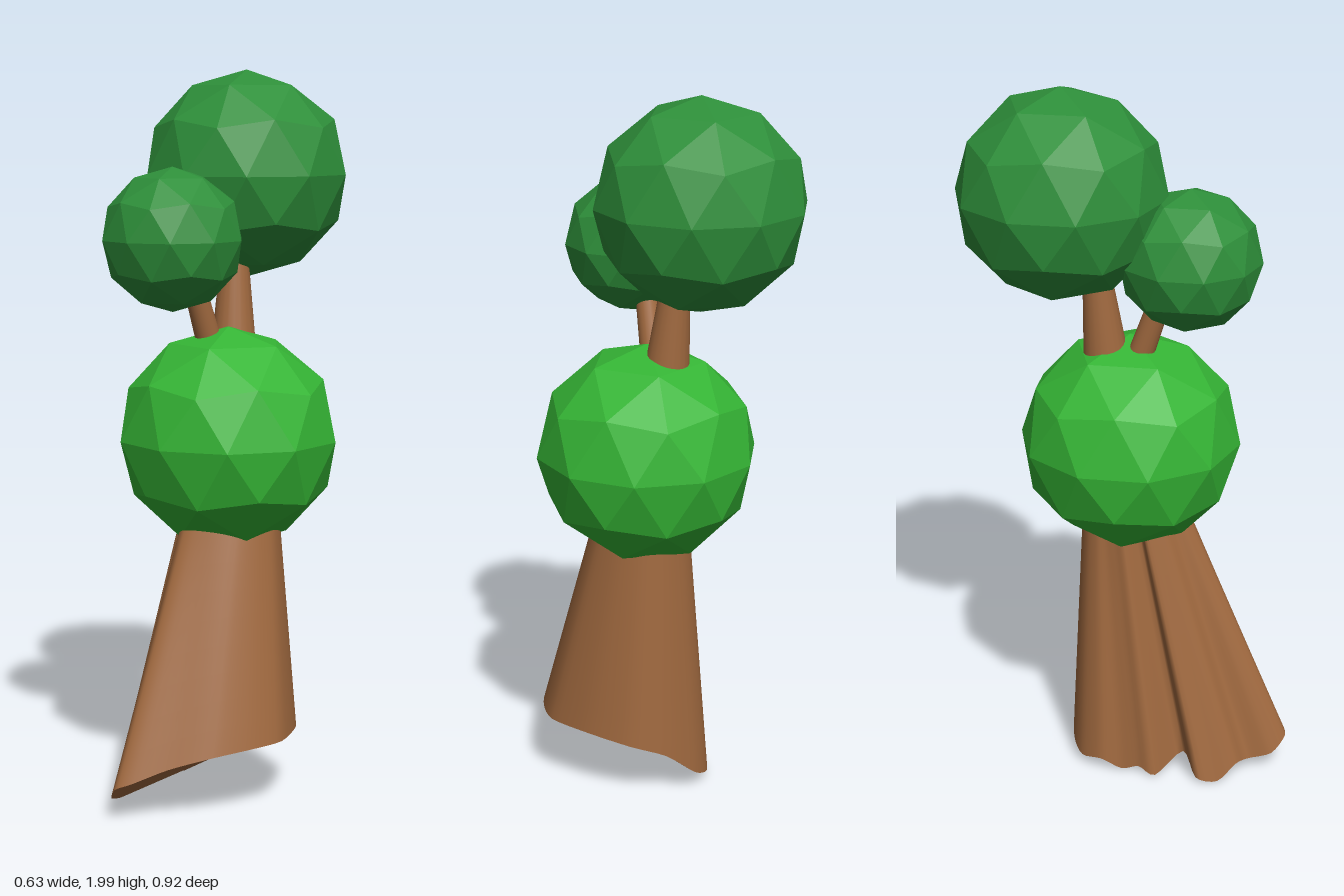
import * as THREE from 'three';

const BARK = 0xa0693f, LIGHT_LEAF = 0x35b535, DARK_LEAF = 0x2e8f3a;
const material = (color, flatShading = false) => new THREE.MeshStandardMaterial({ color, flatShading });

// Faceted ball with a vertex pointing straight up
function foliage(name, radius, position, color) {
  const geometry = new THREE.IcosahedronGeometry(radius, 1);
  geometry.rotateX(-Math.atan2((1 + Math.sqrt(5)) / 2, 1));
  geometry.rotateY(Math.PI / 2);
  const mesh = new THREE.Mesh(geometry, material(color, true));
  mesh.name = name;
  mesh.position.set(...position);
  return mesh;
}

// Tapered limb between two points
function branch(name, from, to, r0, r1) {
  const a = new THREE.Vector3(...from), b = new THREE.Vector3(...to);
  const dir = b.clone().sub(a);
  const mesh = new THREE.Mesh(new THREE.CylinderGeometry(r1, r0, dir.length(), 20), material(BARK));
  mesh.name = name;
  mesh.position.copy(a).add(b).multiplyScalar(0.5);
  mesh.quaternion.setFromUnitVectors(new THREE.Vector3(0, 1, 0), dir.normalize());
  return mesh;
}

// Outline of the slanted, ragged foot of the trunk
const FOOT = [
  [0.275, 0.2, 0.1], [0.25, 0.197, 0.2], [0.19, 0.185, 0.3], [0.1, 0.155, 0.375],
  [0.03, 0.12, 0.44], [-0.015, 0.1, 0.46], [-0.055, 0.06, 0.425], [-0.07, 0.045, 0.36],
  [-0.12, 0.055, 0.33], [-0.15, 0.01, 0.28], [-0.165, 0.025, 0.22], [-0.07, 0.05, 0.17],
  [-0.15, 0.012, 0.1], [-0.14, 0.03, 0.05], [-0.135, 0.015, 0], [-0.14, 0.045, -0.06],
  [-0.11, 0.035, -0.12], [-0.05, 0.06, -0.155], [0.05, 0.14, -0.165], [0.15, 0.18, -0.13],
  [0.23, 0.2, -0.03],
].map((p) => new THREE.Vector3(...p));

function trunk() {
  const group = new THREE.Group();
  group.name = 'trunk';
  const N = 84, ROWS = 10;
  const curve = new THREE.CatmullRomCurve3(FOOT, true, 'catmullrom', 0.4);
  const foot = Array.from({ length: N }, (_, i) => curve.getPoint(i / N));

  // The top ring is rounder but keeps a trace of the grooves
  const top = foot.map((p) => {
    const dx = p.x - 0.055, dz = p.z - 0.147;
    const a = Math.atan2(dz / 0.31, dx / 0.22);
    return new THREE.Vector3(
      0.035 + 0.65 * 0.115 * Math.cos(a) + 0.35 * 0.52 * dx, 0.9,
      -0.005 + 0.65 * 0.125 * Math.sin(a) + 0.35 * 0.4 * dz);
  });

  // Bark lofted from foot to top
  const positions = [], index = [];
  for (let r = 0; r <= ROWS; r++) {
    const t = r / ROWS;
    for (let i = 0; i < N; i++) {
      const p = foot[i].clone().lerp(top[i], t);
      positions.push(p.x, p.y, p.z);
      if (r < ROWS) {
        const a = r * N + i, b = r * N + (i + 1) % N;
        index.push(a, a + N, b, b, a + N, b + N);
      }
    }
  }
  const barkGeometry = new THREE.BufferGeometry();
  barkGeometry.setAttribute('position', new THREE.Float32BufferAttribute(positions, 3));
  barkGeometry.setIndex(index);
  barkGeometry.computeVertexNormals();
  const bark = new THREE.Mesh(barkGeometry, material(BARK));
  bark.name = 'bark';

  // Slanted underside
  const capPoints = [0.06, 0.12, 0.13], capIndex = [];
  foot.forEach((p, i) => {
    capPoints.push(p.x, p.y, p.z);
    capIndex.push(0, i + 1, (i + 1) % N + 1);
  });
  const capGeometry = new THREE.BufferGeometry();
  capGeometry.setAttribute('position', new THREE.Float32BufferAttribute(capPoints, 3));
  capGeometry.setIndex(capIndex);
  capGeometry.computeVertexNormals();
  const cap = new THREE.Mesh(capGeometry, material(BARK));
  cap.name = 'trunkUnderside';

  group.add(bark, cap);
  return group;
}

export function createModel() {
  const tree = new THREE.Group();
  tree.name = 'tree';
  tree.add(
    trunk(),
    branch('backBranch', [0, 1.1, -0.05], [-0.025, 1.55, -0.09], 0.075, 0.033),
    branch('frontBranch', [-0.01, 1.1, -0.02], [-0.035, 1.5, 0.115], 0.04, 0.028),
    foliage('lowerFoliage', 0.307, [0.02, 0.997, 0], LIGHT_LEAF),
    foliage('backFoliage', 0.287, [-0.045, 1.713, -0.173], DARK_LEAF),
    foliage('frontFoliage', 0.194, [-0.04, 1.547, 0.17], DARK_LEAF),
  );
  return tree;
}
